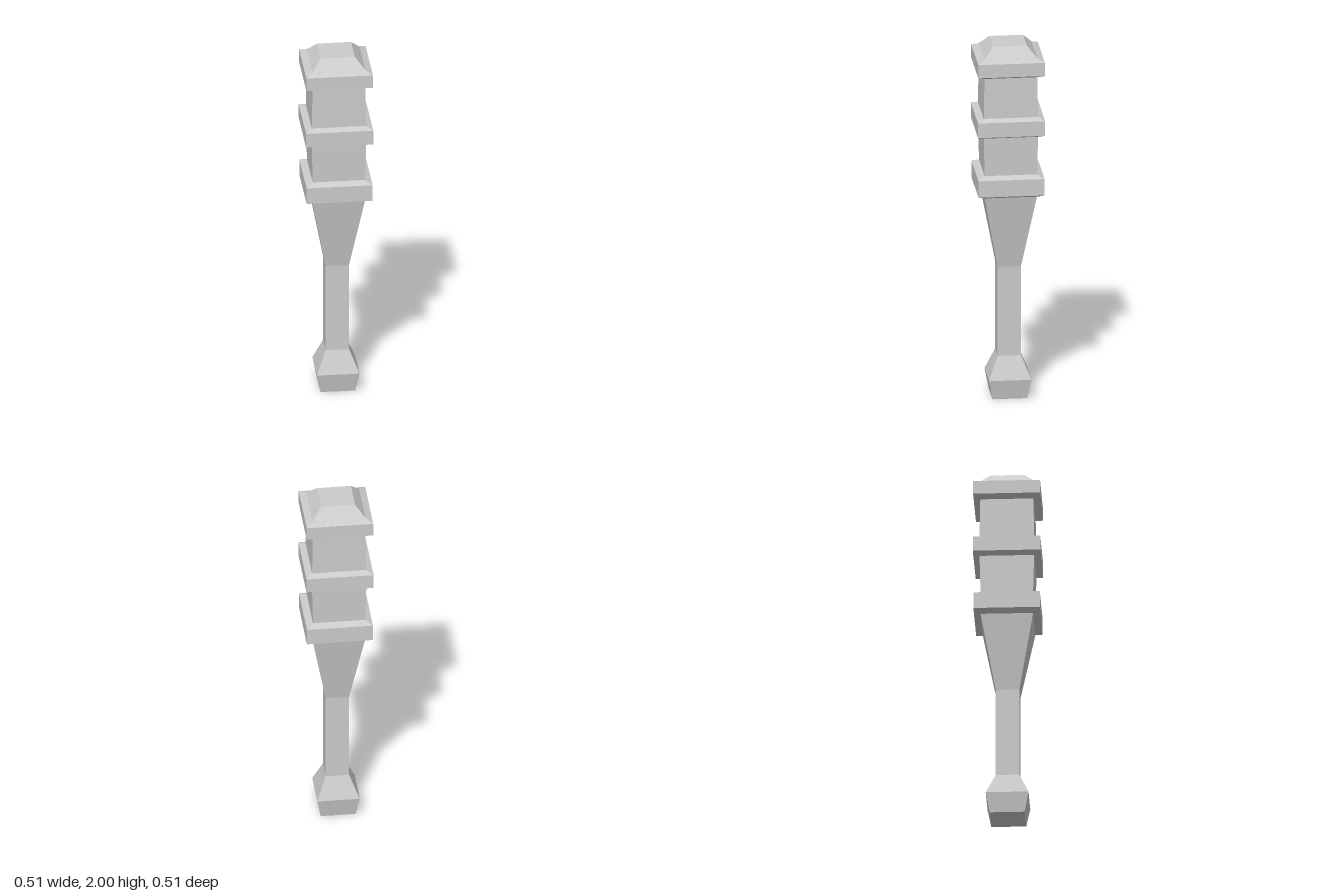
import * as THREE from 'three';

const material = new THREE.MeshStandardMaterial({ color: 0xcccccc, flatShading: true });

// Four-sided turned part with corners on the x and z axes; profile is [radius, y] from bottom to top
function turned(name, profile) {
  const points = profile.map(([r, y]) => new THREE.Vector2(r, y));
  const mesh = new THREE.Mesh(new THREE.LatheGeometry(points, 4), material);
  mesh.name = name;
  return mesh;
}

export function createModel() {
  const club = new THREE.Group();
  club.name = 'club';

  // Flared pommel at the foot
  club.add(turned('pommel', [[0, 0], [0.133, 0], [0.163, 0.11], [0.09, 0.235]]));

  // Slim grip
  club.add(turned('grip', [[0.09, 0.235], [0.09, 0.74]]));

  // Head: taper, slightly swollen barrel and bevelled cap
  club.add(turned('head', [
    [0.09, 0.74], [0.2, 1.157], [0.2, 1.28], [0.208, 1.5],
    [0.208, 1.61], [0.202, 1.84], [0.202, 1.944], [0.13, 2], [0, 2],
  ]));

  // Bevelled bands around the head: [name, bottom, top, outer radius]
  const bands = [
    ['lowerBand', 1.157, 1.284, 0.253],
    ['middleBand', 1.496, 1.613, 0.257],
    ['upperBand', 1.835, 1.944, 0.255],
  ];
  for (const [name, bottom, top, radius] of bands) {
    club.add(turned(name, [
      [0.2, bottom], [radius, bottom + 0.018], [radius, top - 0.016], [0.2, top],
    ]));
  }

  return club;
}
